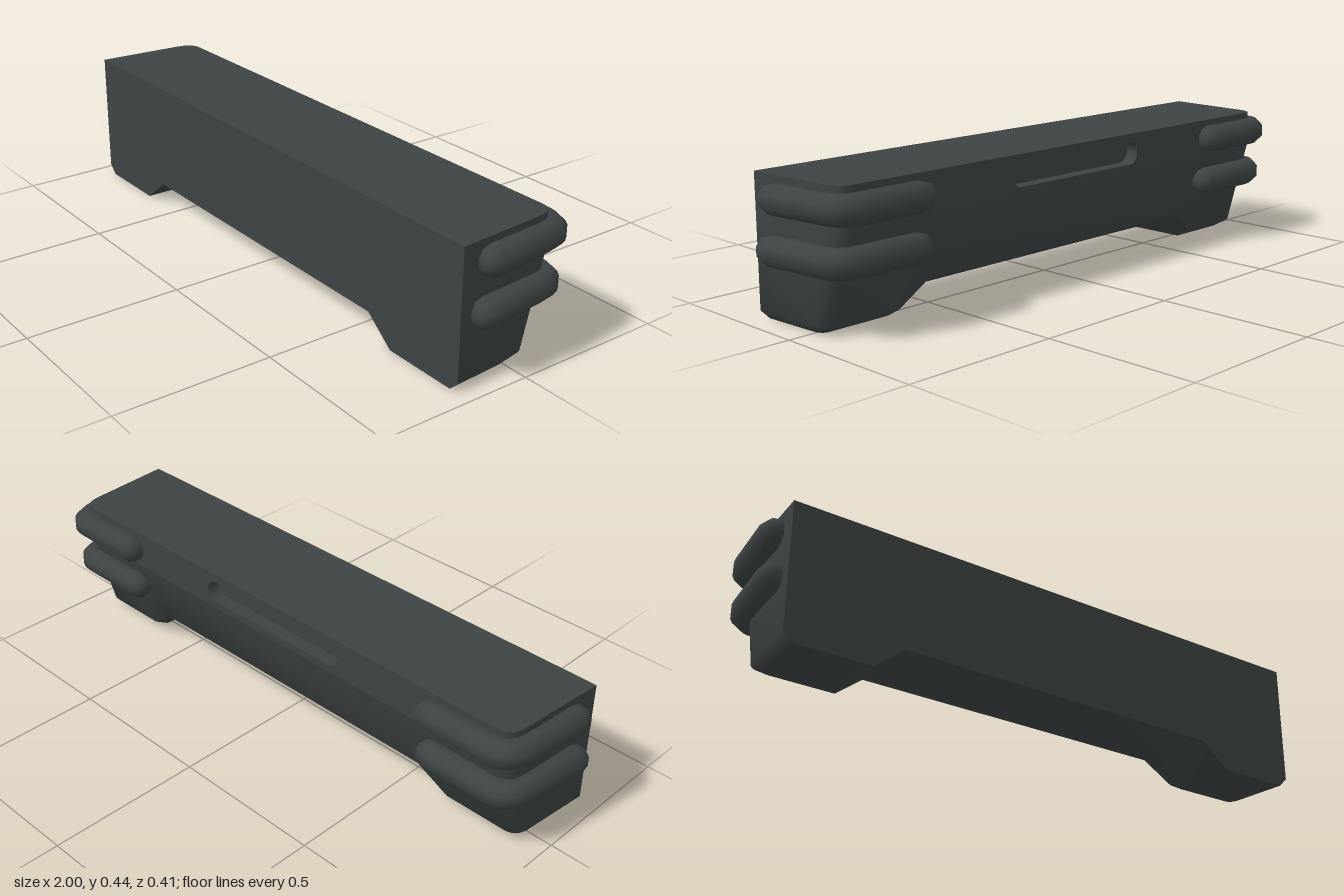
import * as THREE from 'three';
import { toCreasedNormals } from 'three/addons/utils/BufferGeometryUtils.js';

const FRONT = 0.205, BACK = -0.148, TOP = 0.435, KNEE = 0.31;

// Surface through rows of points; skip(i, j) leaves a quad open
function grid(rows, skip = () => false) {
  const n = rows[0].length, index = [];
  for (let i = 0; i < rows.length - 1; i++) {
    for (let j = 0; j < n - 1; j++) {
      if (skip(i, j)) continue;
      const a = i * n + j, b = a + n;
      index.push(a, b, b + 1, a, b + 1, a + 1);
    }
  }
  const g = new THREE.BufferGeometry();
  g.setAttribute('position', new THREE.Float32BufferAttribute(rows.flat(2), 3));
  g.setIndex(index);
  return toCreasedNormals(g, 0.9);
}

// Height of the underside: two feet with a raised middle
const underside = (x) => 0.08 * THREE.MathUtils.clamp((0.67 - Math.abs(x)) / 0.1, 0, 1);

// Points on a rounded corner
function corner(a, c, b, steps) {
  const v = (p) => new THREE.Vector2(...p);
  return new THREE.QuadraticBezierCurve(v(a), v(c), v(b)).getPoints(steps).map((p) => [p.x, p.y]);
}

function bodyGeometry() {
  const half = [[0.95, FRONT], ...corner([0.93, -0.085], [0.925, BACK], [0.88, BACK], 6), [0.67, BACK], [0.57, BACK]];
  const plan = [...half, ...half.map(([x, z]) => [-x, z]).reverse()];
  // Depth shrinks towards the bottom, hinged on the front plane
  const point = (x, y, z, back) => [x, y, FRONT - (FRONT - z) * (FRONT - back) / (FRONT - BACK)];
  const slope = (y) => BACK + (KNEE - y) * 0.27;
  const tuck = (x) => Math.sign(x) * (Math.abs(x) - 0.03 * THREE.MathUtils.clamp((Math.abs(x) - 0.88) / 0.07, 0, 1));
  const rows = [
    plan.map(([x]) => [x, TOP, FRONT]),
    plan.map(([x, z]) => [x, TOP, z]),
    plan.map(([x, z]) => [x, KNEE, z]),
    plan.map(([x, z]) => { const y = underside(x) + 0.03; return point(x, y, z, slope(y)); }),
    plan.map(([x, z]) => { const y = underside(x); return point(tuck(x), y, z, slope(y + 0.03) + 0.052); }),
    plan.map(([x]) => [tuck(x), underside(x), FRONT]),
  ];
  // The flat upper back is left open for the slotted panel
  return grid(rows, (i, j) => i === 1 && Math.abs(plan[j][0]) < 0.881 && Math.abs(plan[j + 1][0]) < 0.881);
}

// Octagonal bar with rounded ends, swept along a path in the xz plane
function ribGeometry(path, y) {
  const r = 0.0465, last = path.length - 1, stations = [];
  const dir = (i) => {
    const p = path[Math.max(i - 1, 0)], q = path[Math.min(i + 1, last)];
    const l = Math.hypot(q[0] - p[0], q[1] - p[1]);
    return [(q[0] - p[0]) / l, (q[1] - p[1]) / l];
  };
  const add = (i, shift, radius) => {
    const [tx, tz] = dir(i);
    stations.push({ x: path[i][0] + tx * shift, z: path[i][1] + tz * shift, tx, tz, radius });
  };
  const cap = [[0.042, 0], [0.042, 0.02], [0.027, 0.038]];
  cap.forEach(([s, c]) => add(0, -s, c));
  path.forEach((_, i) => add(i, 0, r));
  cap.reverse().forEach(([s, c]) => add(last, s, c));
  return grid(stations.map((s) => Array.from({ length: 9 }, (_, k) => {
    const t = Math.PI / 8 + k * Math.PI / 4, c = Math.cos(t) * s.radius;
    return [s.x - s.tz * c, y + Math.sin(t) * s.radius, s.z + s.tx * c];
  })));
}

// Stadium outline for the slot
function stadium(Type, halfWidth, r, y) {
  const s = new Type();
  s.absarc(halfWidth - r, y, r, -Math.PI / 2, Math.PI / 2, false);
  s.absarc(r - halfWidth, y, r, Math.PI / 2, Math.PI * 1.5, false);
  s.closePath();
  return s;
}

export function createModel() {
  const model = new THREE.Group();
  const rubber = new THREE.MeshStandardMaterial({ color: 0x3d4443 });
  rubber.name = 'dark grey green';
  const add = (name, geometry, parent = model) => {
    const mesh = new THREE.Mesh(geometry, rubber);
    mesh.name = name;
    parent.add(mesh);
    return mesh;
  };

  add('body', bodyGeometry());

  // Flat front face
  const outline = [[0.95, TOP], [-0.95, TOP], [-0.95, 0.03], [-0.92, 0], [-0.67, 0], [-0.57, 0.08],
    [0.57, 0.08], [0.67, 0], [0.92, 0], [0.95, 0.03]].map((p) => new THREE.Vector2(...p));
  add('frontFace', new THREE.ShapeGeometry(new THREE.Shape(outline))).position.z = FRONT;

  // Upper back panel with a recessed slot
  const panel = new THREE.Shape([[-0.88, KNEE], [0.88, KNEE], [0.88, TOP], [-0.88, TOP]].map((p) => new THREE.Vector2(...p)));
  panel.holes.push(stadium(THREE.Path, 0.285, 0.036, 0.37));
  add('backPanel', new THREE.ExtrudeGeometry(panel, { depth: 0.045, bevelEnabled: false, curveSegments: 8 })).position.z = BACK;
  const floor = add('slotFloor', new THREE.ShapeGeometry(stadium(THREE.Shape, 0.29, 0.04, 0.37)));
  floor.rotation.y = Math.PI;
  floor.position.z = BACK + 0.044;

  // Two bumper ribs wrapped round each back corner
  const path = [[0.957, 0.105], ...corner([0.932, -0.105], [0.926, -0.162], [0.875, -0.162], 6), [0.657, -0.162]];
  for (const side of [1, -1]) {
    const ribs = new THREE.Group();
    ribs.name = side > 0 ? 'leftRibs' : 'rightRibs';
    model.add(ribs);
    const run = side > 0 ? path : path.map(([x, z]) => [-x, z]).reverse();
    add('upperRib', ribGeometry(run, 0.371), ribs);
    add('lowerRib', ribGeometry(run, 0.222), ribs).position.z = 0.017;
  }
  return model;
}
